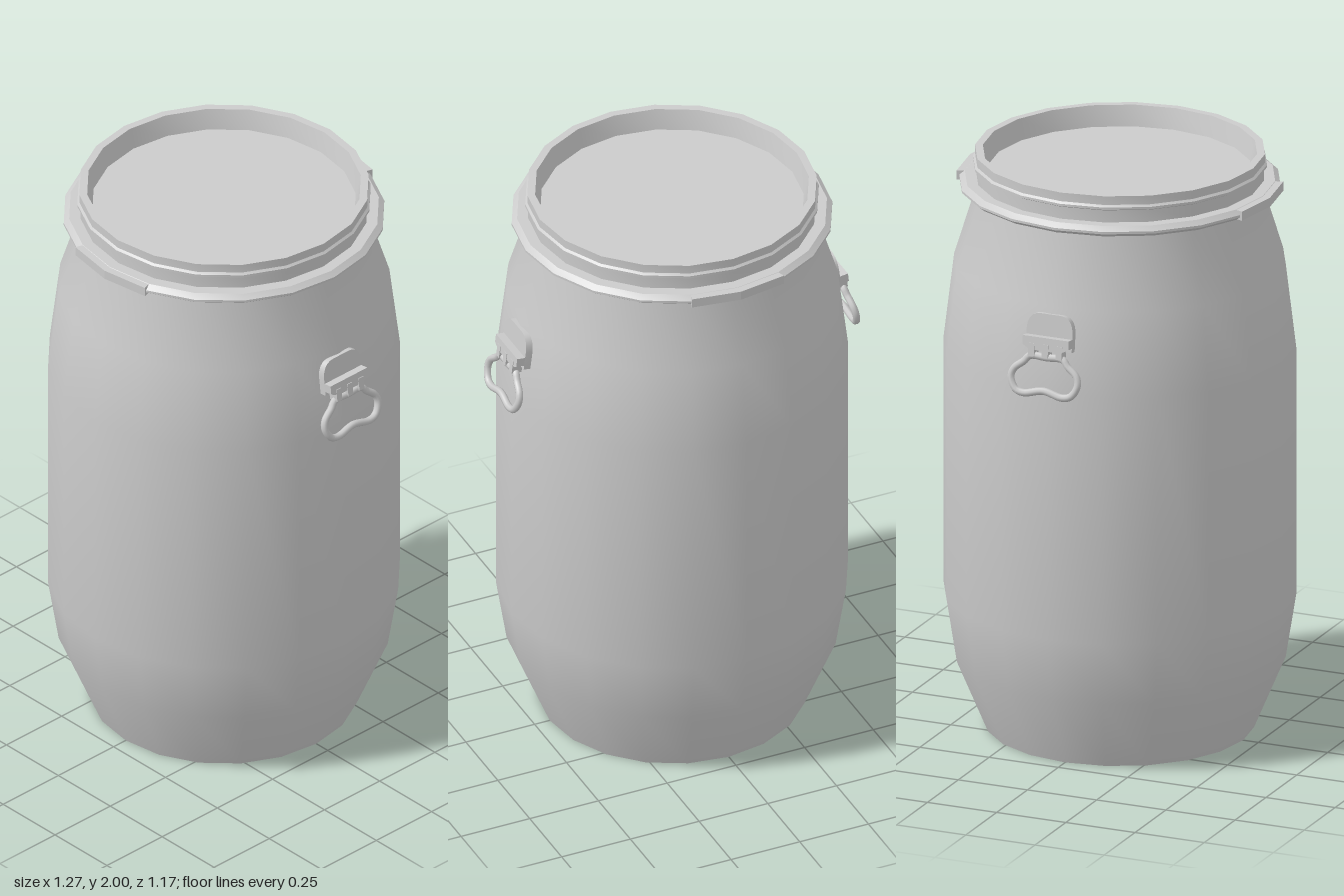
import * as THREE from 'three';
import { toCreasedNormals } from 'three/addons/utils/BufferGeometryUtils.js';

const SIDES = 20;
const grey = new THREE.MeshStandardMaterial({ color: 0xcccccc });

function part(name, geometry, parent) {
  const mesh = new THREE.Mesh(geometry, grey);
  mesh.name = name;
  parent.add(mesh);
  return mesh;
}

// Turned part from [radius, height] pairs
function turned(name, profile, parent) {
  const points = profile.map(([r, y]) => new THREE.Vector2(r, y));
  return part(name, toCreasedNormals(new THREE.LatheGeometry(points, SIDES), 0.6), parent);
}

// Thick lug of the clamp ring, spanning two of the barrel's sides
function clampLug(name, angle, parent) {
  const step = (Math.PI * 2) / SIDES;
  const at = (r, i) => new THREE.Vector2(r * Math.sin(i * step), -r * Math.cos(i * step));
  const shape = new THREE.Shape([at(0.542, -1), at(0.542, 0), at(0.542, 1), at(0.48, 1), at(0.48, 0), at(0.48, -1)]);
  const geometry = new THREE.ExtrudeGeometry(shape, { depth: 0.032, bevelEnabled: false });
  geometry.rotateX(-Math.PI / 2);
  const lug = part(name, geometry, parent);
  lug.position.y = 1.875;
  lug.rotation.y = angle;
}

// Carrying handle; local z points away from the barrel wall
function handle(name, angle, parent) {
  const side = new THREE.Group();
  side.name = name;
  side.rotation.y = angle;
  parent.add(side);

  const mount = new THREE.Group();
  mount.name = 'handleMount';
  mount.position.set(0, 1.5, 0.565);
  mount.rotation.x = -0.12;
  side.add(mount);

  // Wall plate with rounded top corners
  const plate = new THREE.Shape();
  plate.moveTo(-0.083, -0.02);
  plate.lineTo(0.083, -0.02);
  plate.lineTo(0.083, 0.045);
  plate.quadraticCurveTo(0.08, 0.1, 0.035, 0.1);
  plate.lineTo(-0.035, 0.1);
  plate.quadraticCurveTo(-0.08, 0.1, -0.083, 0.045);
  const plateGeometry = new THREE.ExtrudeGeometry(plate, { depth: 0.035, bevelEnabled: false, curveSegments: 5 });
  plateGeometry.translate(0, 0, -0.024);
  part('wallPlate', toCreasedNormals(plateGeometry, 0.6), mount);

  // Ledge tapering towards the hinge
  const ledge = new THREE.Shape([[-0.083, 0.025], [-0.083, -0.005], [-0.055, -0.02],
    [0.055, -0.02], [0.083, -0.005], [0.083, 0.025]].map(([x, y]) => new THREE.Vector2(x, y)));
  const ledgeGeometry = new THREE.ExtrudeGeometry(ledge, { depth: 0.055, bevelEnabled: false });
  ledgeGeometry.translate(0, 0, -0.015);
  part('hingeLedge', ledgeGeometry, mount);

  // Hinge knuckles
  for (const x of [-0.05, 0, 0.05]) {
    part('hingeKnuckle', new THREE.BoxGeometry(0.022, 0.045, 0.036), mount).position.set(x, -0.02, 0.024);
  }

  // Hanging grip loop, with the lower bar bowed upwards
  const loop = [[-0.06, -0.005], [0, -0.005], [0.06, -0.005], [0.078, -0.025], [0.113, -0.055], [0.12, -0.085],
    [0.1, -0.122], [0.07, -0.131], [0, -0.117], [-0.07, -0.131], [-0.1, -0.122], [-0.12, -0.085],
    [-0.113, -0.055], [-0.078, -0.025]].map(([x, y]) => new THREE.Vector3(x, y, 0));
  const curve = new THREE.CatmullRomCurve3(loop, true);
  const grip = part('grip', new THREE.TubeGeometry(curve, 56, 0.0125, 8, true), side);
  grip.position.set(0, 1.465, 0.595);
  grip.rotation.x = -0.23;
}

export function createModel() {
  const model = new THREE.Group();
  model.name = 'barrel';

  turned('body', [[0, 0], [0.445, 0], [0.55, 0.25], [0.585, 0.47], [0.585, 1.33],
    [0.55, 1.62], [0.472, 1.87], [0.472, 1.9], [0, 1.9]], model);

  // Lid with a raised rim around a sunken panel
  turned('lid', [[0.46, 1.885], [0.478, 1.905], [0.478, 1.95], [0.488, 1.955], [0.488, 1.963], [0.481, 1.97],
    [0.481, 2], [0.455, 2], [0.438, 1.93], [0, 1.93]], model);

  // Clamp ring with a bevelled edge
  turned('clampRing', [[0.465, 1.872], [0.515, 1.872], [0.533, 1.885], [0.533, 1.893],
    [0.515, 1.908], [0.475, 1.908]], model);
  clampLug('frontClampLug', 0, model);
  clampLug('backClampLug', Math.PI, model);

  handle('leftHandle', Math.PI / 2, model);
  handle('rightHandle', -Math.PI / 2, model);
  return model;
}
